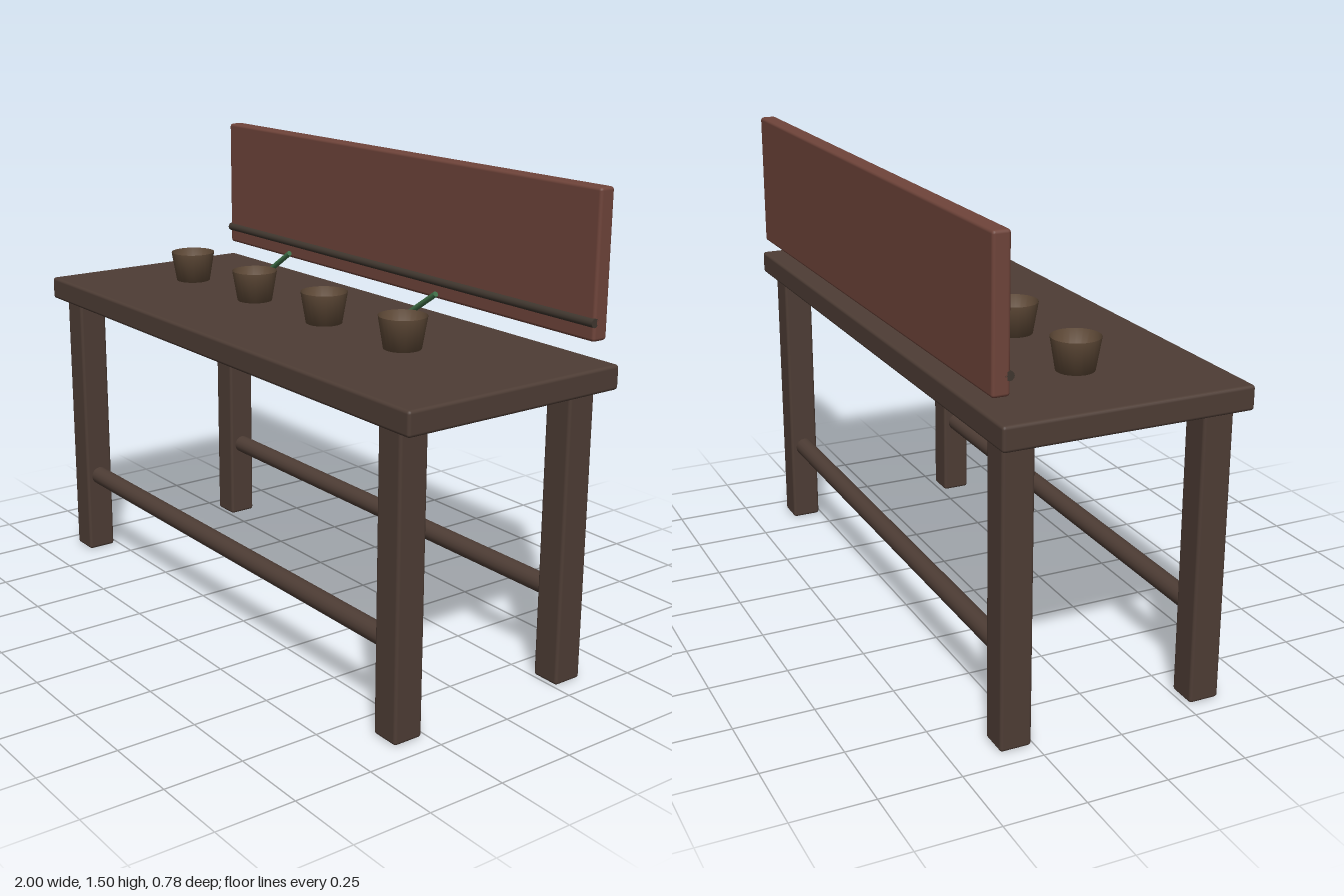
import * as THREE from 'three';
import { RoundedBoxGeometry } from 'three/addons/geometries/RoundedBoxGeometry.js';

export function createModel() {
  const model = new THREE.Group();
  model.name = 'workbench';
  const paint = (color, side = THREE.FrontSide) => new THREE.MeshStandardMaterial({ color, side });
  const wood = paint(0x4e3d35);
  const boardRed = paint(0x6f443a);
  const railDark = paint(0x40372f);
  const clay = paint(0x634d3a, THREE.DoubleSide);
  const green = paint(0x3f7048);

  function add(name, geometry, material, x, y, z) {
    const mesh = new THREE.Mesh(geometry, material);
    mesh.name = name;
    mesh.position.set(x, y, z);
    model.add(mesh);
    return mesh;
  }
  const block = (w, h, d) => new RoundedBoxGeometry(w, h, d, 2, 0.01);
  const rod = (radius, length, sides) => new THREE.CylinderGeometry(radius, radius, length, sides);

  // Table top
  add('tableTop', block(2, 0.075, 0.775), wood, 0, 0.963, 0.003);

  // Legs, with a long stretcher between each front and back pair
  for (const z of [0.315, -0.308]) {
    for (const x of [-0.893, 0.887]) add('leg', block(0.097, 0.925, 0.098), wood, x, 0.4625, z);
    add('stretcher', rod(0.031, 1.74, 16), wood, -0.003, 0.28, z).rotation.z = Math.PI / 2;
  }

  // Back board and the rail along its lower front
  add('backBoard', block(1.885, 0.443, 0.054), boardRed, -0.003, 1.28, -0.363);
  add('boardRail', rod(0.014, 1.885, 12), railDark, -0.003, 1.115, -0.339).rotation.z = Math.PI / 2;

  // Open tapered cups
  const profile = [[0, 0], [0.058, 0], [0.075, 0.1]].map(([r, y]) => new THREE.Vector2(r, y));
  const cup = new THREE.LatheGeometry(profile, 24);
  for (let i = 0; i < 4; i++) add('cup', cup, clay, -0.672 + i * 0.39, 1.001, 0.003);

  // Slanted green sticks behind the cups
  for (const x of [-0.478, 0.302]) {
    add('stick', rod(0.009, 0.195, 10), green, x, 1.06, -0.22).rotation.z = -0.99;
  }
  return model;
}
